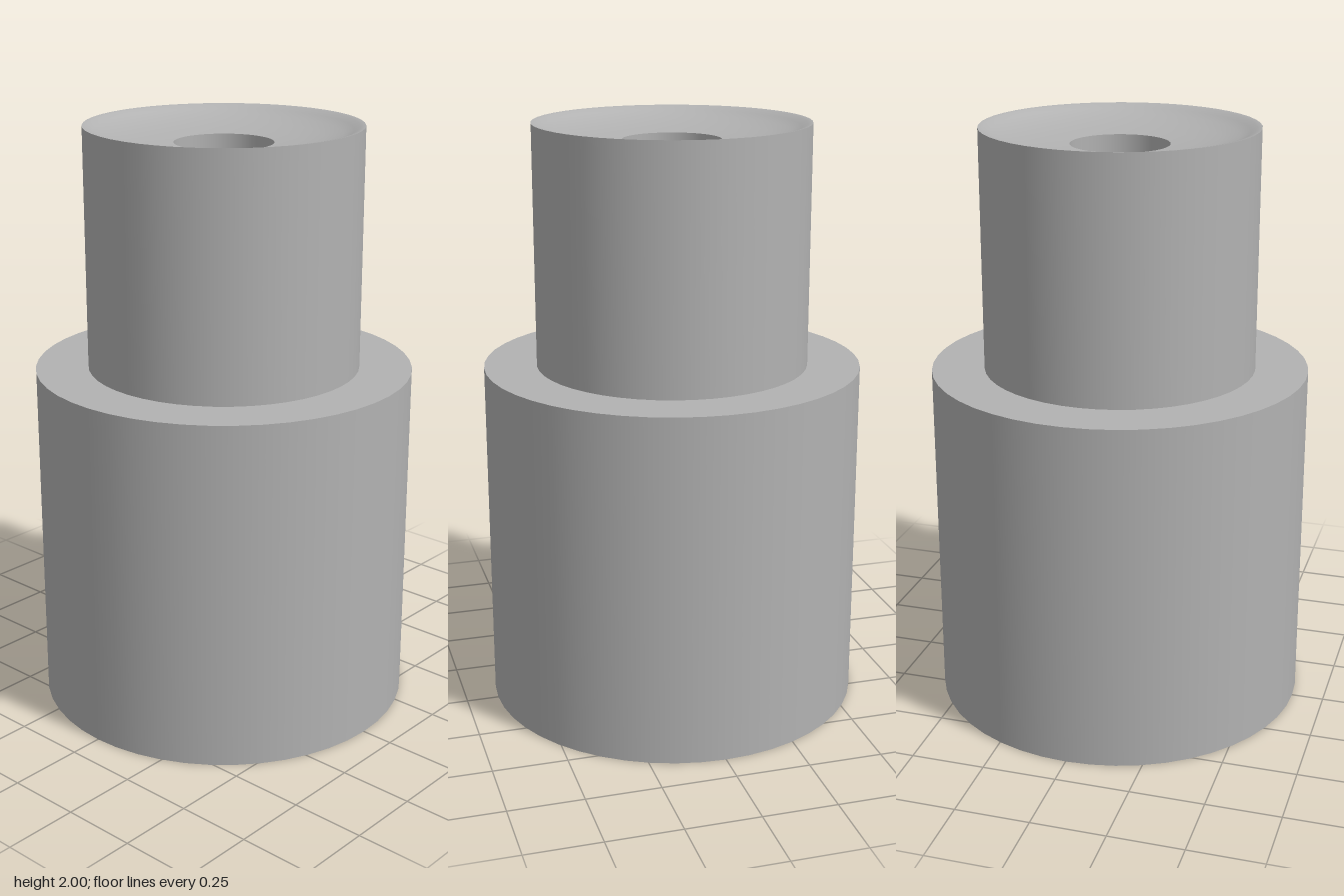
import * as THREE from 'three';

const SIDES = 48;

export function createModel() {
  const group = new THREE.Group();
  const grey = new THREE.MeshStandardMaterial({ color: 0xb2b2b2 });
  grey.name = 'plain grey';

  // Each turned surface is its own lathe, so edges between them stay sharp.
  // Profiles run up the outside, inward over the top and down the bore.
  const turn = (name, points) => {
    const profile = points.map(([r, y]) => new THREE.Vector2(r, y));
    const mesh = new THREE.Mesh(new THREE.LatheGeometry(profile, SIDES), grey);
    mesh.name = name;
    group.add(mesh);
  };

  const bodyR = 0.64, neckR = 0.462, stepY = 1.185;
  const boreTop = 0.165, boreBottom = 0.19, dishY = 1.941;

  // Wide lower body and its shoulder
  turn('bodyWall', [[bodyR, 0], [bodyR, stepY]]);
  turn('shoulder', [[bodyR, stepY], [neckR, stepY]]);

  // Narrow upper neck
  turn('neckWall', [[neckR, stepY], [neckR, 2]]);

  // Shallow dish with a soft lip, running down to the bore
  turn('topDish', [
    [neckR, 2], [0.445, 1.997], [0.425, 1.986], [0.39, 1.972],
    [0.33, 1.958], [0.25, 1.947], [boreTop, dishY],
  ]);

  // Slightly tapered through bore and flat underside
  turn('bore', [[boreTop, dishY], [boreBottom, 0]]);
  turn('underside', [[boreBottom, 0], [bodyR, 0]]);

  return group;
}
